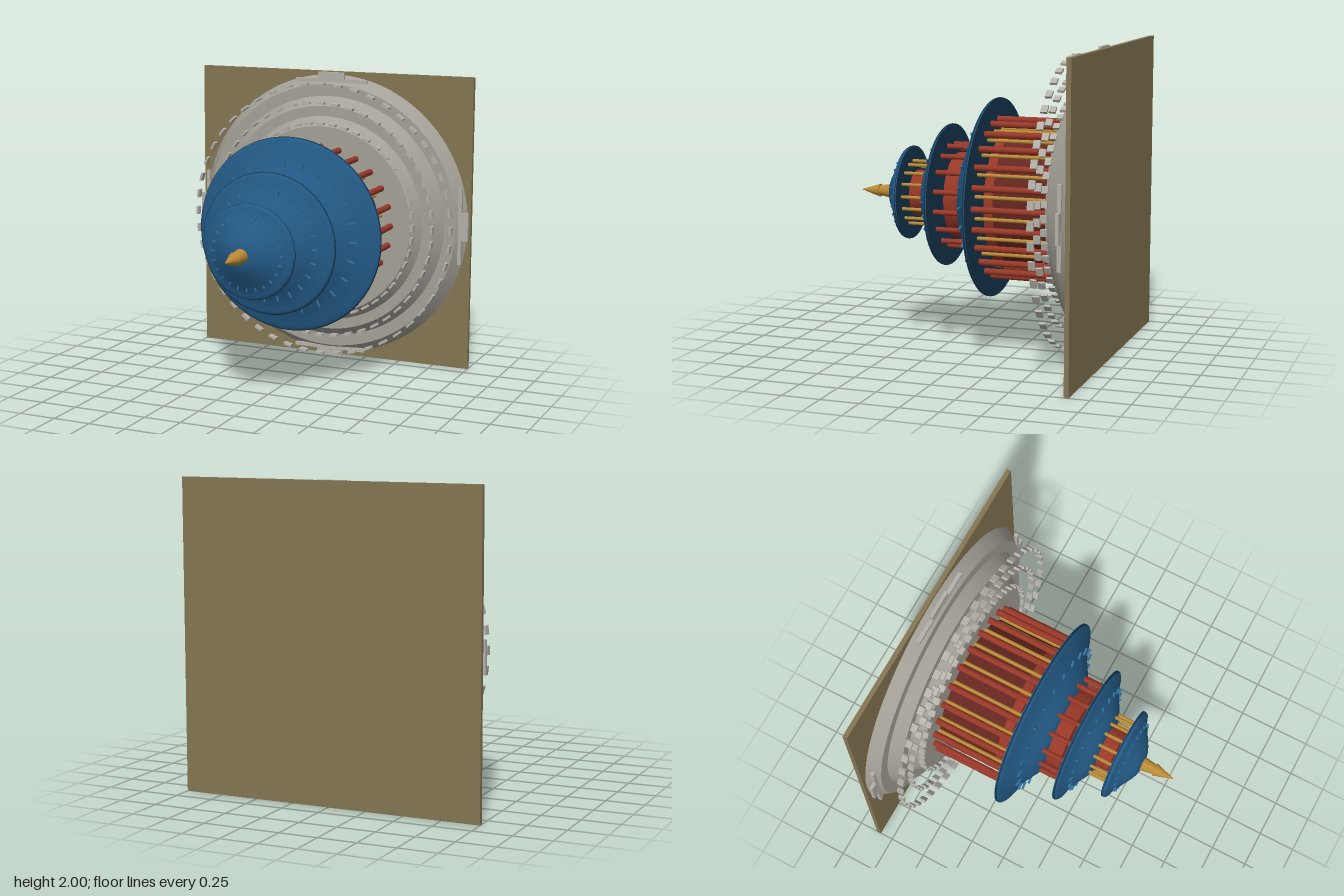
import * as THREE from 'three';

const mat = (color, side = THREE.FrontSide) => new THREE.MeshStandardMaterial({ color, side });
const EARTH = mat(0x857654), STONE = mat(0xa5a198), RAIL = mat(0xb4b1aa), RED = mat(0x983828),
  DARK_RED = mat(0x642620), GOLD = mat(0xb98a35), BLUE = mat(0x235a86), NAVY = mat(0x16364f),
  ORNAMENT = mat(0x2f6f9c);

// The building is modelled along +y (heights) and finally laid on its back so +y becomes +z.
function add(parent, name, geometry, material, x = 0, y = 0, z = 0) {
  const mesh = new THREE.Mesh(geometry, material);
  mesh.name = name;
  mesh.position.set(x, y, z);
  parent.add(mesh);
  return mesh;
}

// Cylinder or cone between two heights
function drum(parent, name, rBottom, rTop, y0, y1, material, sides = 64) {
  return add(parent, name, new THREE.CylinderGeometry(rTop, rBottom, y1 - y0, sides), material, 0, (y0 + y1) / 2);
}

// Copies of one geometry around the axis
function ring(parent, name, geometry, material, count, radius, y, phase = 0) {
  const group = new THREE.Group();
  group.name = name;
  for (let i = 0; i < count; i++) {
    const a = ((i + phase) / count) * Math.PI * 2;
    const mesh = add(group, name + 'Piece', geometry, material, Math.sin(a) * radius, y, Math.cos(a) * radius);
    mesh.rotation.y = a;
  }
  parent.add(group);
}

function pillars(parent, name, count, ringRadius, r, y0, y1, material, phase) {
  ring(parent, name, new THREE.CylinderGeometry(r, r, y1 - y0, 12), material, count, ringRadius, (y0 + y1) / 2, phase);
}

// Roof with a flat underside, an upturned eave, a dark rim and small radial ornaments
function roof(parent, name, profile, ornament) {
  const [eaveR, eaveY] = profile[0];
  const group = new THREE.Group();
  group.name = name;
  const curve = new THREE.SplineCurve(profile.map(([r, y]) => new THREE.Vector2(r, y)));
  add(group, name + 'Shell', new THREE.LatheGeometry(curve.getPoints(20), 72), BLUE);
  const underside = add(group, name + 'Underside', new THREE.CircleGeometry(eaveR, 72), NAVY, 0, eaveY, 0);
  underside.rotation.x = Math.PI / 2;
  const rim = add(group, name + 'Rim', new THREE.TorusGeometry(eaveR - 0.008, 0.009, 8, 72), NAVY, 0, eaveY + 0.009, 0);
  rim.rotation.x = Math.PI / 2;
  ring(group, name + 'Ornaments', new THREE.BoxGeometry(0.008, 0.014, ornament.length), ORNAMENT, 24, ornament.r, ornament.y);
  parent.add(group);
}

export function createModel() {
  const root = new THREE.Group();
  root.name = 'roundTemple';
  const temple = new THREE.Group();
  temple.name = 'temple';
  temple.rotation.x = Math.PI / 2;
  temple.position.y = 1;
  root.add(temple);

  // Square ground slab
  add(temple, 'groundSlab', new THREE.BoxGeometry(2, 0.03, 2), EARTH, 0, -0.855, 0);

  // Three sloping terraces
  [[0.98, 0.92, -0.84, -0.76], [0.84, 0.78, -0.76, -0.685], [0.71, 0.65, -0.685, -0.61]]
    .forEach(([r0, r1, y0, y1], i) => drum(temple, 'terrace' + (i + 1), r0, r1, y0, y1, STONE, 72));

  // Balustrade blocks in three rings
  [[0.936, 0.055], [0.807, 0.05], [0.668, 0.045]].forEach(([r, w], i) =>
    ring(temple, 'balustrade' + (i + 1), new THREE.BoxGeometry(w, 0.042, 0.016), RAIL, 48, r, -0.608));

  // Stair blocks on the four sides
  ring(temple, 'stairLanding', new THREE.BoxGeometry(0.52, 0.025, 0.024), RAIL, 4, 0.942, -0.79);
  ring(temple, 'stairBlock', new THREE.BoxGeometry(0.19, 0.022, 0.055), RAIL, 4, 0.972, -0.79);

  // Lower storey
  drum(temple, 'lowerHall', 0.425, 0.425, -0.61, -0.197, DARK_RED);
  drum(temple, 'lowerHallBand', 0.43, 0.43, -0.2, -0.14, RED);
  pillars(temple, 'lowerOuterPillars', 24, 0.51, 0.021, -0.61, -0.08, RED, 0);
  pillars(temple, 'lowerInnerPillars', 20, 0.445, 0.012, -0.61, -0.08, GOLD, 0.5);
  add(temple, 'plaque', new THREE.BoxGeometry(0.06, 0.03, 0.016), GOLD, 0, -0.33, 0.528);
  roof(temple, 'lowerRoof',
    [[0.647, -0.09], [0.635, -0.066], [0.555, -0.04], [0.46, 0.0], [0.34, 0.07], [0.27, 0.09]],
    { r: 0.49, y: 0.0, length: 0.05 });

  // Middle storey
  drum(temple, 'middleHall', 0.28, 0.28, 0.06, 0.185, RED);
  pillars(temple, 'middlePillars', 16, 0.333, 0.017, 0.05, 0.24, RED, 0.5);
  roof(temple, 'middleRoof',
    [[0.465, 0.232], [0.455, 0.255], [0.4, 0.272], [0.33, 0.302], [0.22, 0.365], [0.14, 0.38]],
    { r: 0.35, y: 0.3, length: 0.04 });

  // Upper storey
  drum(temple, 'upperHall', 0.15, 0.15, 0.35, 0.472, RED);
  pillars(temple, 'upperPillars', 16, 0.21, 0.011, 0.345, 0.51, GOLD, 0);
  roof(temple, 'upperRoof',
    [[0.307, 0.502], [0.3, 0.53], [0.25, 0.55], [0.19, 0.585], [0.09, 0.64], [0.001, 0.655]],
    { r: 0.232, y: 0.562, length: 0.025 });

  // Gilded finial
  drum(temple, 'finialBase', 0.05, 0.03, 0.635, 0.75, GOLD, 24);
  drum(temple, 'finialTip', 0.043, 0.001, 0.735, 0.87, GOLD, 24);

  return root;
}
